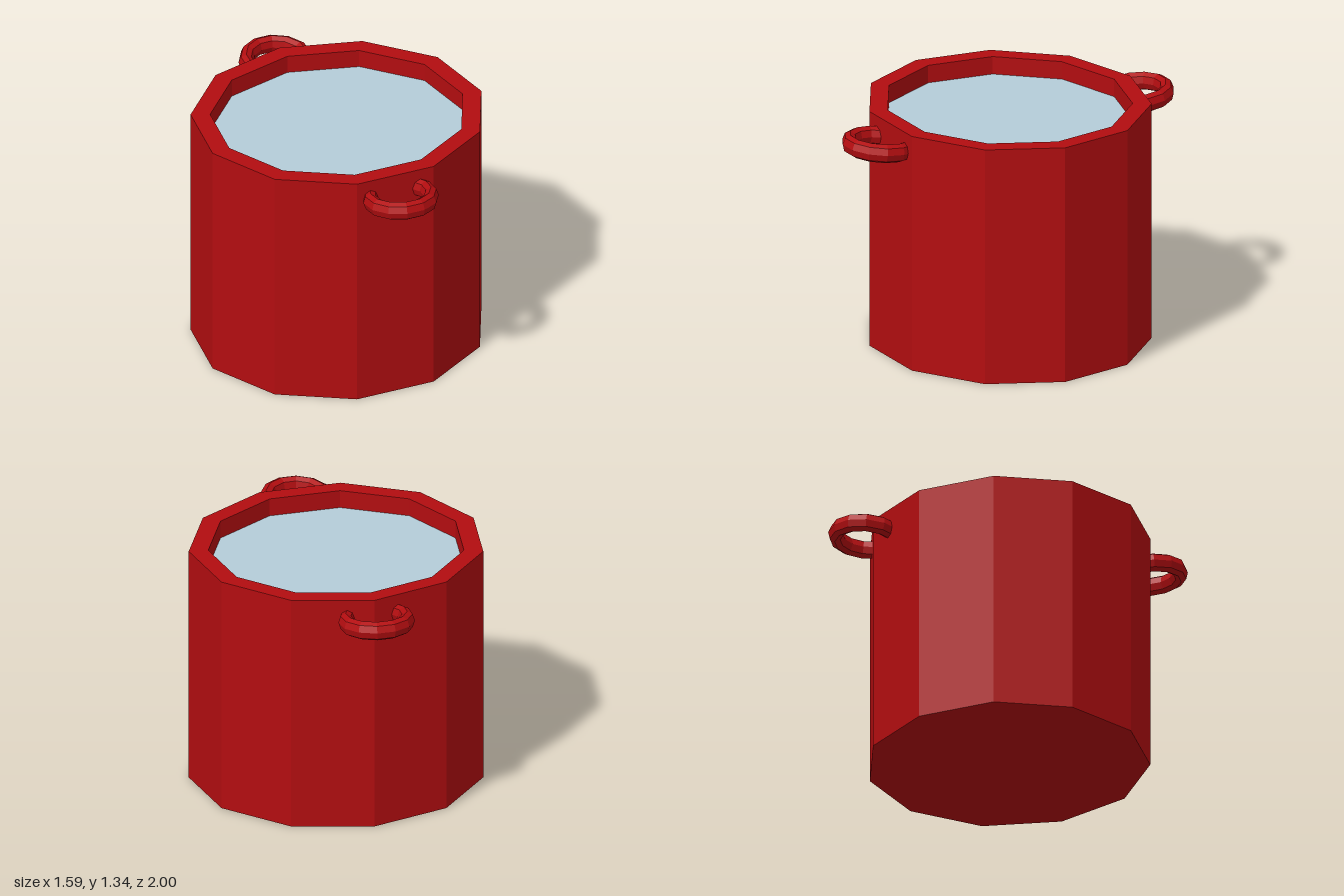
import * as THREE from 'three';

const SIDES = 11;
const DEPTH_SCALE = 0.948; // the pot is slightly oval

// Faceted normals for the low-poly look
function facet(geometry) {
  const flat = geometry.toNonIndexed();
  flat.computeVertexNormals();
  return flat;
}

export function createModel() {
  const model = new THREE.Group();
  const red = new THREE.MeshStandardMaterial({ color: 0xb20d10 });
  red.name = 'red enamel';
  const blue = new THREE.MeshStandardMaterial({ color: 0xb4ccd8 });
  blue.name = 'pale water';

  const add = (name, geometry, material) => {
    const mesh = new THREE.Mesh(facet(geometry), material);
    mesh.name = name;
    model.add(mesh);
    return mesh;
  };

  // Pot: base, outer wall, rim and inner wall in one profile
  const profile = [[0, 0], [0.803, 0], [0.803, 1.34], [0.697, 1.34], [0.697, 1.2]]
    .map(([r, y]) => new THREE.Vector2(r, y));
  const pot = new THREE.LatheGeometry(profile, SIDES, Math.PI);
  pot.scale(1, 1, DEPTH_SCALE);
  add('pot', pot, red);

  // Water surface just below the rim
  const water = new THREE.CircleGeometry(0.697, SIDES, Math.PI / 2);
  water.rotateX(-Math.PI / 2);
  water.scale(1, 1, DEPTH_SCALE);
  water.translate(0, 1.24, 0);
  add('water', water, blue);

  // Loop handles, tilted up, with their ends buried in the wall
  const arc = THREE.MathUtils.degToRad(260);
  for (const [name, turn] of [['frontHandle', 0], ['backHandle', Math.PI]]) {
    const handle = new THREE.TorusGeometry(0.166, 0.04, 8, 9, arc);
    handle.rotateZ(Math.PI / 2 - arc / 2);
    handle.scale(1, 1, 1.3);
    handle.rotateX(Math.PI / 2);
    handle.rotateX(THREE.MathUtils.degToRad(-5.5));
    handle.translate(0, 1.236, 0.8);
    handle.rotateY(turn);
    add(name, handle, red);
  }

  return model;
}
